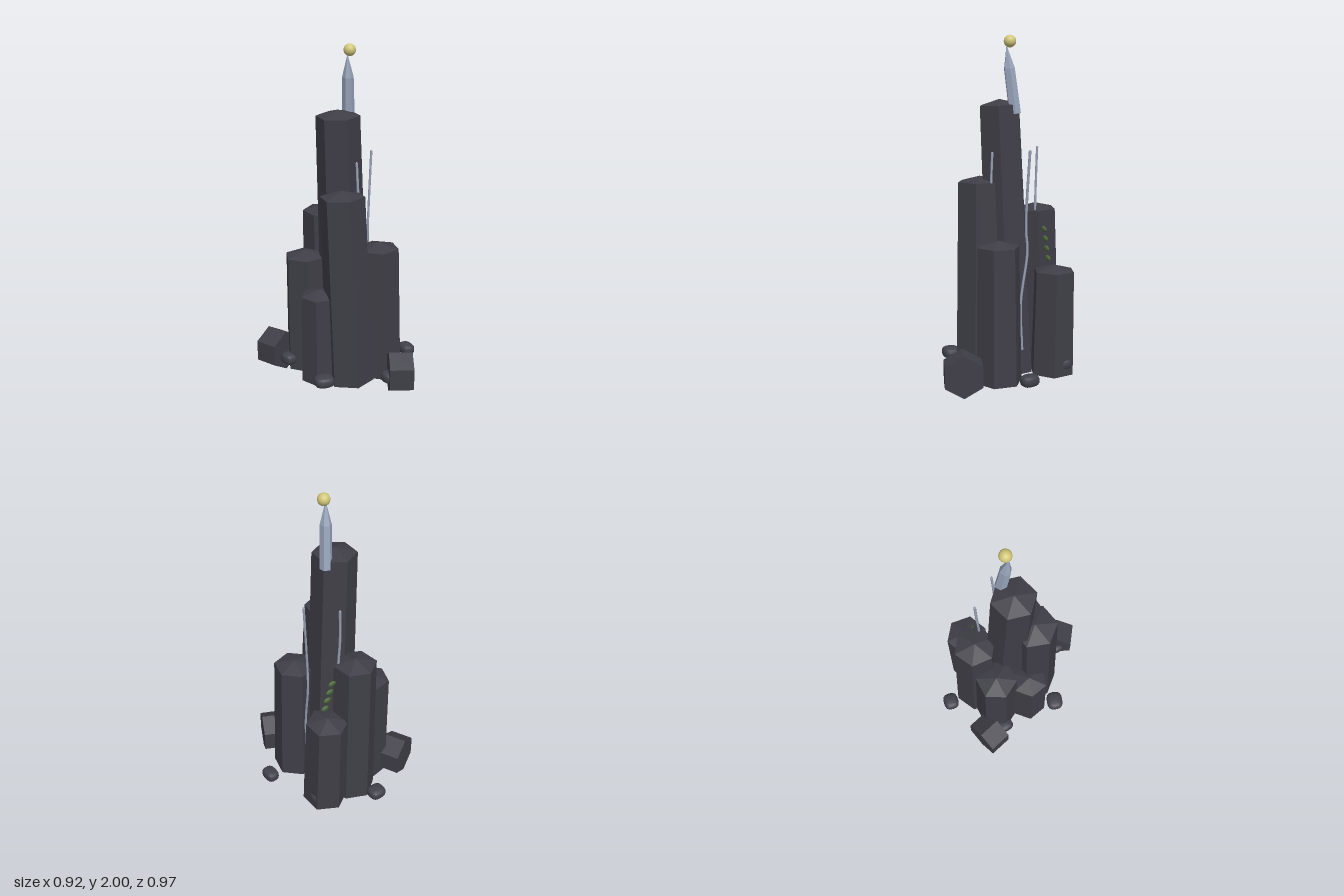
import * as THREE from 'three';

const V = (a) => new THREE.Vector3(...a);

export function createModel() {
  const model = new THREE.Group();
  const mat = (name, color, flatShading = false) =>
    Object.assign(new THREE.MeshStandardMaterial({ color, flatShading }), { name });
  const basalt = mat('basalt', 0x3f3e47, true);
  const pebble = mat('pebble', 0x41414b);
  const crystal = mat('crystal', 0x9aa6bd, true);
  const silver = mat('silver vein', 0x98a2b6);
  const gold = mat('gold', 0xd2c77a);
  const moss = mat('moss', 0x4a6836);

  const add = (name, geometry, material, position = [0, 0, 0]) => {
    const mesh = new THREE.Mesh(geometry, material);
    mesh.name = name;
    mesh.position.set(...position);
    model.add(mesh);
    return mesh;
  };

  // Six-sided solid turned about an axis from base to top
  const hexSolid = (name, material, base, top, turn, profile) => {
    const axis = V(top).sub(V(base));
    const length = axis.length();
    const points = profile.map(([r, t]) => new THREE.Vector2(r, t * length));
    const geometry = new THREE.LatheGeometry(points, 6);
    geometry.rotateY(THREE.MathUtils.degToRad(turn));
    const mesh = add(name, geometry, material, base);
    mesh.quaternion.setFromUnitVectors(new THREE.Vector3(0, 1, 0), axis.normalize());
    return mesh;
  };

  // Leaning columns with low pointed caps: base, rim centre, turn, rim and base radius
  const columns = [
    ['tallColumn', [0.04, 0.03, -0.04], [-0.028, 1.605, 0], 0, 0.127, 0.145],
    ['frontColumn', [-0.012, 0.03, 0.147], [-0.053, 1.165, 0.118], -5, 0.132, 0.142],
    ['frontLeftColumn', [0.19, 0.03, 0.118], [0.178, 0.825, 0.115], -10, 0.124, 0.136],
    ['backLeftColumn', [0.19, 0.03, -0.235], [0.182, 0.645, -0.25], 6, 0.125, 0.135],
    ['backColumn', [0, 0.03, -0.25], [-0.02, 0.985, -0.232], 10, 0.126, 0.136],
    ['backRightColumn', [-0.165, 0.03, -0.148], [-0.178, 0.745, -0.145], -16, 0.124, 0.134],
    ['frontRightColumn', [-0.165, 0.03, 0.062], [-0.172, 0.565, 0.063], 26, 0.113, 0.12],
  ];
  for (const [name, base, top, turn, rt, rb] of columns) {
    const cap = 1 + 0.034 / (top[1] - base[1]);
    hexSolid(name, basalt, base, top, turn, [[0, 0], [rb, 0], [rt, 1], [0, cap]]);
  }

  // Fallen column pieces lying on their sides, one edge up: centre, axis, length
  for (const [x, z, ax, az] of [[0.214, 0.358, 0.93, 0.367], [-0.332, -0.24, 0.483, 0.876]]) {
    const geometry = new THREE.CylinderGeometry(0.124, 0.124, 0.14, 6);
    geometry.rotateX(Math.PI / 2);
    const block = add('fallenBlock', geometry, basalt, [x, 0.125, z]);
    block.rotation.y = Math.atan2(ax, az);
  }

  // Flattened, squarish pebbles around the foot: x, z, width, depth, turn
  const pebbles = [
    [-0.053, -0.438, 0.108, 0.098, 0.05], [0.418, 0.044, 0.084, 0.11, 0.1],
    [-0.22, 0.235, 0.118, 0.105, -0.1], [-0.302, -0.125, 0.08, 0.1, 0.3],
    [0.15, 0.342, 0.09, 0.095, 0.2], [0.27, -0.265, 0.08, 0.095, -0.1],
  ];
  const stone = new THREE.SphereGeometry(1, 14, 10);
  const p = stone.attributes.position;
  for (let i = 0; i < p.count; i++) {
    const soft = (v) => Math.sign(v) * Math.abs(v) ** 0.7;
    p.setXYZ(i, soft(p.getX(i)), soft(p.getY(i)), soft(p.getZ(i)));
  }
  stone.computeVertexNormals();
  for (const [x, z, w, d, turn] of pebbles) {
    const mesh = add('pebble', stone, pebble, [x, 0.098, z]);
    mesh.scale.set(w / 2, 0.034, d / 2);
    mesh.rotation.y = turn;
  }

  // Crystal spire and the ball on its point
  hexSolid('crystalSpire', crystal, [0.062, 1.56, -0.052], [0.036, 1.945, -0.01], 10,
    [[0, 0], [0.036, 0], [0.033, 0.66], [0, 1]]);
  add('goldBall', new THREE.SphereGeometry(0.035, 24, 16), gold, [0.055, 1.965, -0.022]);

  // Thin metal veins climbing the stone
  const veins = [
    [[0.195, 0.2, -0.03], [0.192, 0.48, -0.022], [0.196, 0.78, -0.062], [0.192, 0.9, -0.055],
      [0.197, 1.05, -0.055], [0.215, 1.36, -0.065]],
    [[0.07, 0.8, -0.19], [0.065, 1.0, -0.186], [0.06, 1.15, -0.192], [0.064, 1.36, -0.197]],
    [[0.06, 1.0, 0.1], [0.055, 1.17, 0.098], [0.05, 1.34, 0.088]],
  ];
  for (const points of veins) {
    const curve = new THREE.CatmullRomCurve3(points.map(V));
    add('vein', new THREE.TubeGeometry(curve, 24, 0.0075, 6), silver);
    for (const end of [points[0], points.at(-1)]) {
      add('veinEnd', new THREE.SphereGeometry(0.0075, 8, 6), silver, end);
    }
  }

  // Moss tufts stepping down beside the back column
  for (let i = 0; i < 4; i++) {
    const tuft = add('mossTuft', new THREE.SphereGeometry(1, 12, 8), moss,
      [0.125 + i * 0.016, 0.885 - i * 0.055, -0.212]);
    tuft.scale.set(0.026, 0.017, 0.01);
    tuft.rotation.z = -0.2;
  }

  return model;
}
